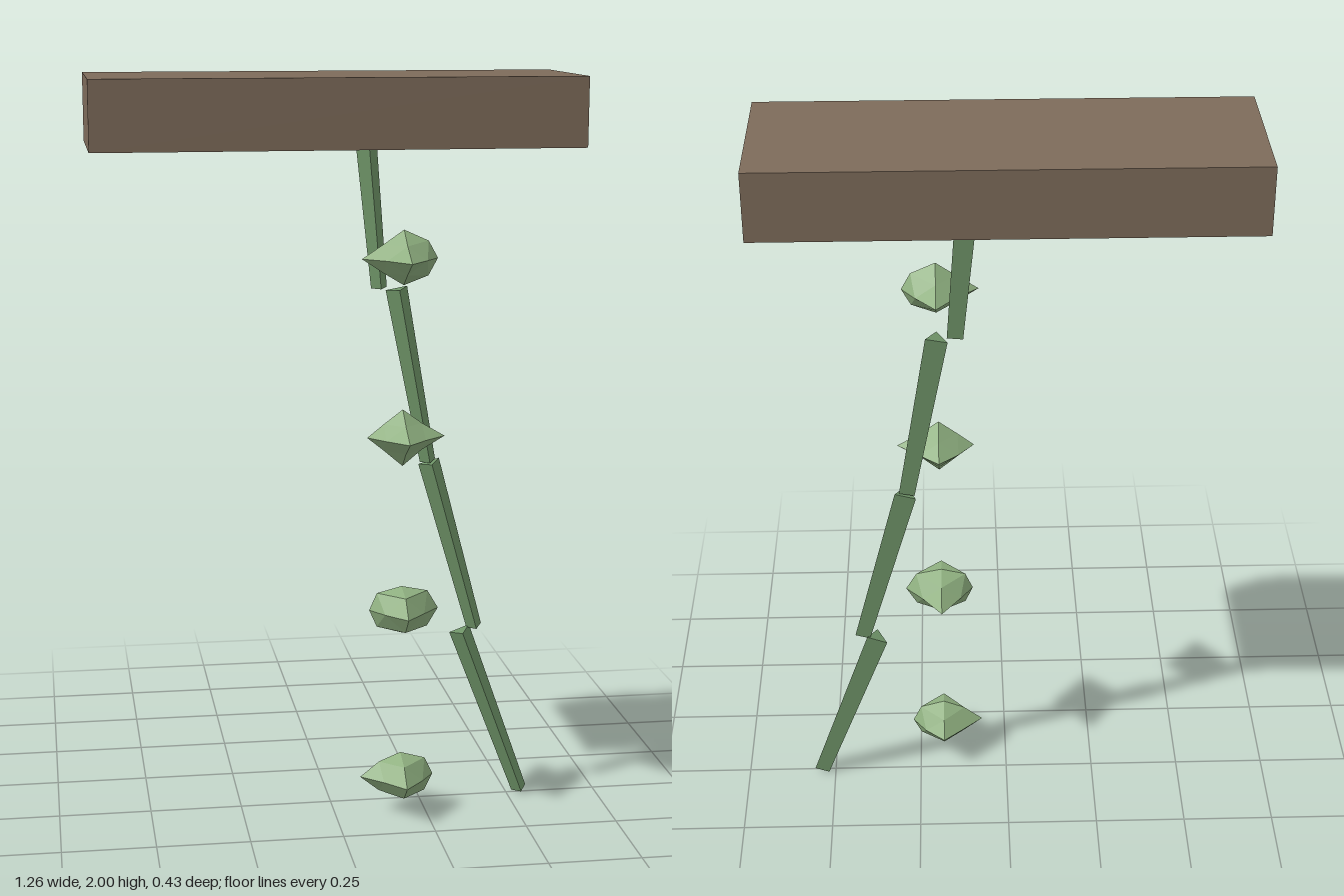
import * as THREE from 'three';

const mat = (color, side = THREE.FrontSide) =>
  new THREE.MeshStandardMaterial({ color, flatShading: true, side });

// Thin-walled box, open underneath
function makePlanter() {
  const geo = new THREE.BoxGeometry(1.265, 0.18, 0.43);
  const index = Array.from(geo.index.array);
  index.splice(18, 6); // drop the bottom face
  geo.setIndex(index);
  geo.clearGroups();
  const mesh = new THREE.Mesh(geo, mat(0x7d6b5a, THREE.DoubleSide));
  mesh.position.set(0, 1.91, -0.0025);
  mesh.name = 'planter';
  return mesh;
}

// Three-sided tapered stem piece between two points in the xy plane
function makeStem([x0, y0], [x1, y1], material) {
  const geo = new THREE.CylinderGeometry(0.034, 0.0245, Math.hypot(x1 - x0, y1 - y0), 3);
  const mesh = new THREE.Mesh(geo, material);
  mesh.position.set((x0 + x1) / 2, (y0 + y1) / 2, -0.0025);
  mesh.rotation.z = Math.atan2(x1 - x0, y0 - y1);
  return mesh;
}

// Irregular faceted leaf clump: tips = reach along +x -x +y -y +z -z,
// mids = reach of the edge midpoints towards +x -x +z -z
function makeLeaf(tips, mids, material) {
  const geo = new THREE.OctahedronGeometry(1, 1);
  const pos = geo.attributes.position;
  const v = new THREE.Vector3();
  for (let i = 0; i < pos.count; i++) {
    v.fromBufferAttribute(pos, i);
    const a = v.toArray().map((c) => (Math.abs(c) < 0.01 ? 0 : Math.sign(c)));
    const used = a.filter((c) => c !== 0).length;
    if (used === 1) {
      const k = a.findIndex((c) => c !== 0);
      v.multiplyScalar(tips[k * 2 + (a[k] < 0 ? 1 : 0)]);
    } else {
      let r = 0.075; // midpoints round the middle
      if (a[1] !== 0) r = a[0] !== 0 ? mids[a[0] > 0 ? 0 : 1] : mids[a[2] > 0 ? 2 : 3];
      v.multiplyScalar(r);
      v.y *= 0.7;
    }
    pos.setXYZ(i, v.x, v.y, v.z);
  }
  geo.computeVertexNormals();
  return new THREE.Mesh(geo, material);
}

export function createModel() {
  const group = new THREE.Group();
  group.add(makePlanter());

  // Trailing stem, leaning further out with each piece
  const stemMat = mat(0x6f9468);
  [
    [[0.089, 1.91], [0.132, 1.44]],
    [[0.18, 1.437], [0.268, 0.965]],
    [[0.272, 0.962], [0.403, 0.492]],
    [[0.363, 0.483], [0.539, 0.008]],
  ].forEach(([top, bottom], i) => {
    const stem = makeStem(top, bottom, stemMat);
    stem.name = `stem${i + 1}`;
    group.add(stem);
  });

  // Leaf clumps hanging in a vertical row
  const leafMat = mat(0x8fb080);
  [
    [1.53, [0.09, 0.111, 0.075, 0.07, 0.125, 0.118], [0.092, 0.076, 0.076, 0.073]],
    [1.055, [0.113, 0.095, 0.074, 0.079, 0.113, 0.1], [0.073, 0.072, 0.073, 0.075]],
    [0.58, [0.1, 0.088, 0.064, 0.066, 0.113, 0.127], [0.1, 0.095, 0.095, 0.078]],
    [0.105, [0.09, 0.111, 0.066, 0.062, 0.113, 0.1], [0.095, 0.084, 0.09, 0.08]],
  ].forEach(([y, tips, mids], i) => {
    const leaf = makeLeaf(tips, mids, leafMat);
    leaf.position.set(0.18, y, 0.092);
    leaf.name = `leaf${i + 1}`;
    group.add(leaf);
  });

  return group;
}
